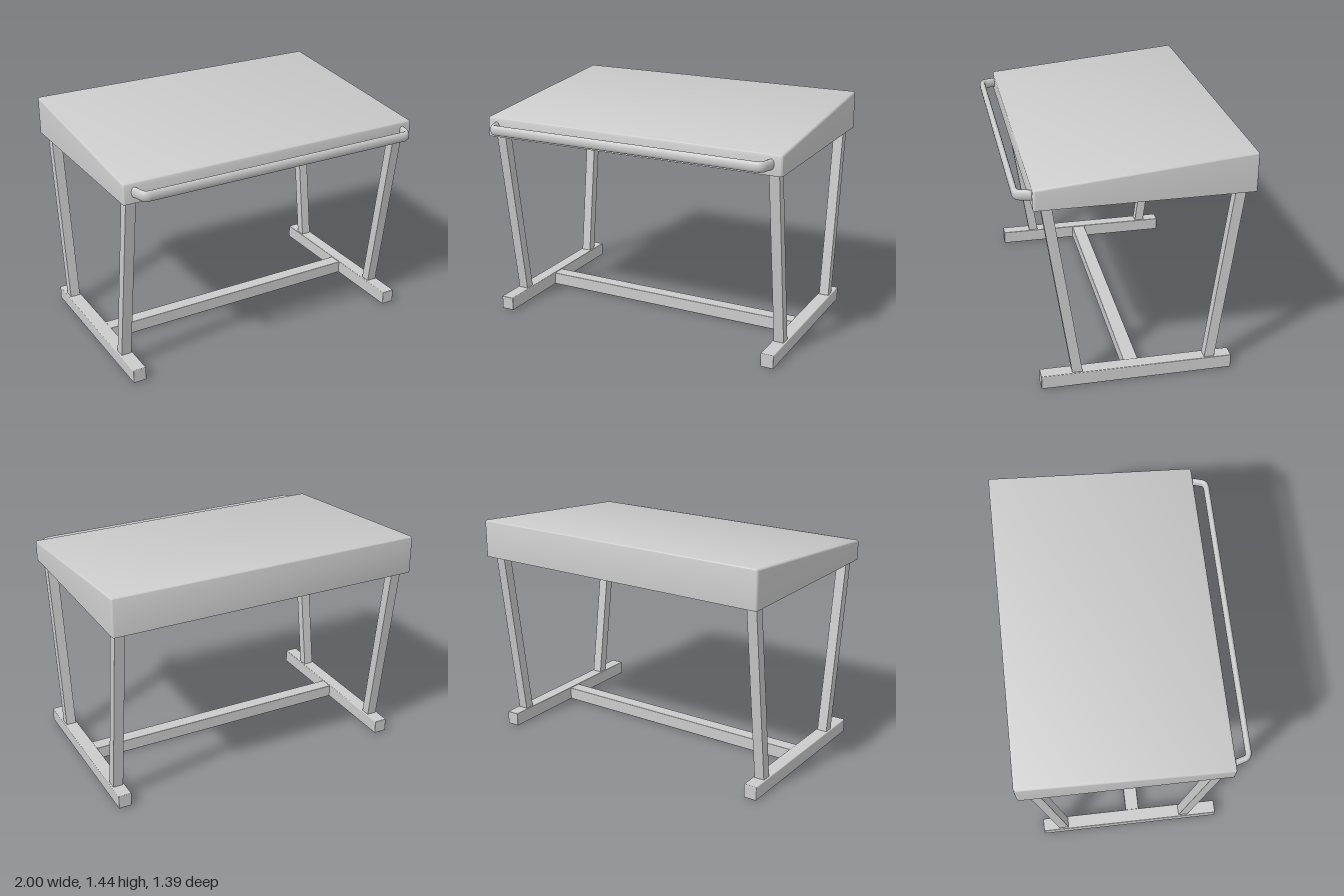
import * as THREE from 'three';
import { toCreasedNormals } from 'three/addons/utils/BufferGeometryUtils.js';
import { RoundedBoxGeometry } from 'three/addons/geometries/RoundedBoxGeometry.js';

const material = new THREE.MeshStandardMaterial({ color: 0xcccccc });

export function createModel() {
  const desk = new THREE.Group();
  desk.name = 'slopedDesk';

  const add = (name, geometry, x = 0, y = 0, z = 0) => {
    const mesh = new THREE.Mesh(geometry, material);
    mesh.name = name;
    mesh.position.set(x, y, z);
    desk.add(mesh);
  };

  // Wedge top: softened box with a flat underside and a sloping lid
  const back = -0.695, front = 0.59, under = 1.2;
  const top = new RoundedBoxGeometry(2, 0.2, front - back, 3, 0.015);
  top.translate(0, 0, (front + back) / 2);
  const p = top.attributes.position;
  for (let i = 0; i < p.count; i++) {
    const lid = THREE.MathUtils.mapLinear(p.getZ(i), back, front, 1.44, 1.325);
    p.setY(i, p.getY(i) > 0 ? lid - (0.1 - p.getY(i)) : under);
  }
  add('deskTop', toCreasedNormals(top, 0.6));

  // Slanted leg: a box sheared in z so both ends stay level
  const legGeometry = (zBottom, zTop) => {
    const y0 = 0.085, y1 = 1.205, h = y1 - y0;
    const shear = (zTop - zBottom) / h;
    return new THREE.BoxGeometry(0.064, h, 0.062)
      .applyMatrix4(new THREE.Matrix4().set(
        1, 0, 0, 0,
        0, 1, 0, (y0 + y1) / 2,
        0, shear, 1, (zBottom + zTop) / 2,
        0, 0, 0, 1));
  };

  // Legs and feet on both sides
  for (const [side, s] of [['left', 1], ['right', -1]]) {
    add(side + 'FrontLeg', legGeometry(0.35, 0.515), s * 0.935);
    add(side + 'BackLeg', legGeometry(-0.466, -0.608), s * 0.935);
    add(side + 'Foot', new RoundedBoxGeometry(0.085, 0.088, 1.175, 2, 0.005), s * 0.935, 0.044, -0.017);
  }

  // Stretcher between the feet
  add('crossBar', new RoundedBoxGeometry(1.8, 0.083, 0.09, 2, 0.005), 0, 0.0415, 0.008);

  // Front rail: bent tube stretched to an upright oval section
  const v = (x, z) => new THREE.Vector3(x, 0, z);
  const path = new THREE.CurvePath();
  path.add(new THREE.LineCurve3(v(-0.937, 0.57), v(-0.915, 0.648)));
  path.add(new THREE.QuadraticBezierCurve3(v(-0.915, 0.648), v(-0.907, 0.676), v(-0.875, 0.676)));
  path.add(new THREE.LineCurve3(v(-0.875, 0.676), v(0.875, 0.676)));
  path.add(new THREE.QuadraticBezierCurve3(v(0.875, 0.676), v(0.907, 0.676), v(0.915, 0.648)));
  path.add(new THREE.LineCurve3(v(0.915, 0.648), v(0.937, 0.57)));
  const rail = new THREE.TubeGeometry(path, 240, 0.0185, 20);
  rail.scale(1, 0.032 / 0.0185, 1);
  add('frontRail', rail, 0, 1.267, 0);

  return desk;
}
